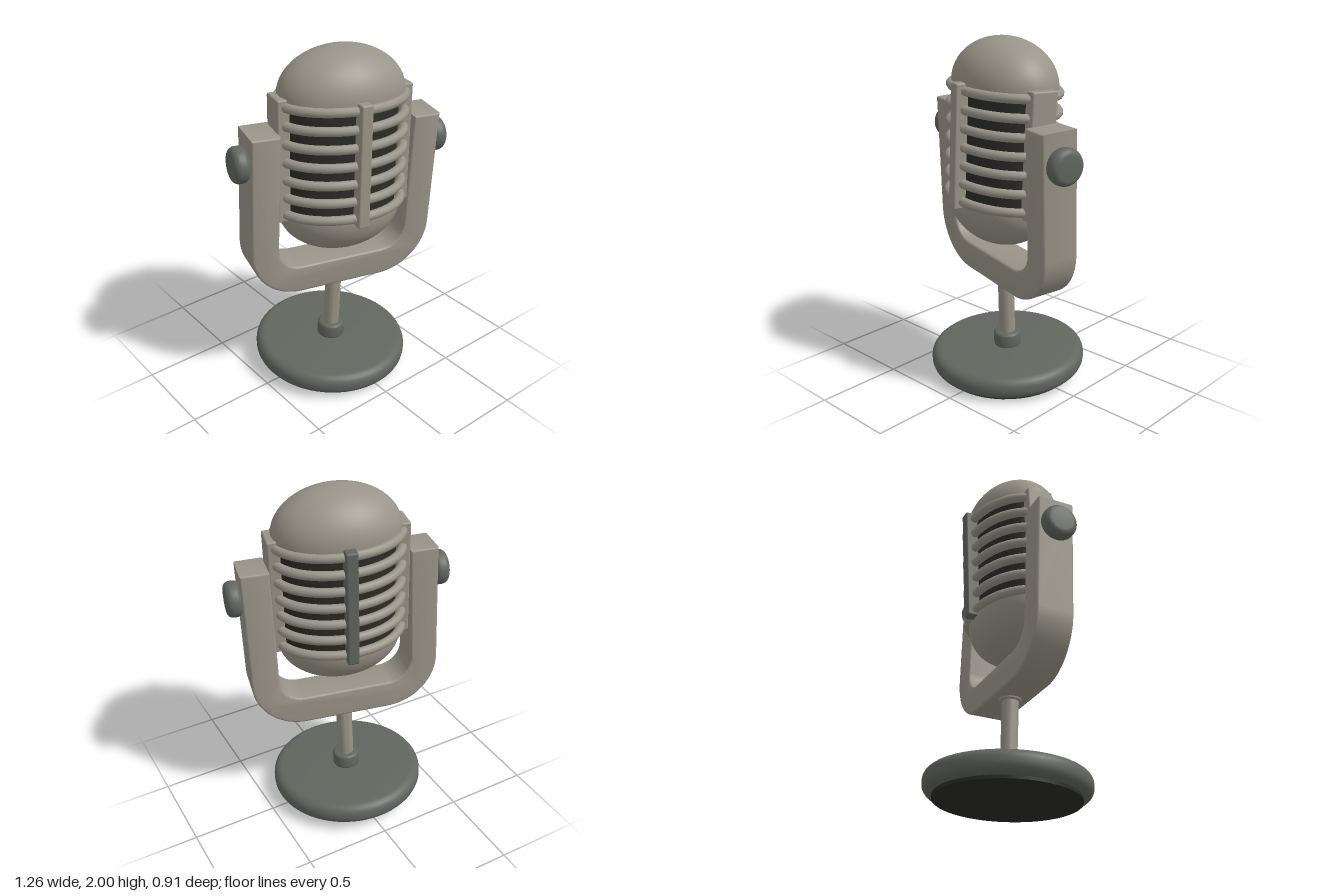
import * as THREE from 'three';
import { toCreasedNormals } from 'three/addons/utils/BufferGeometryUtils.js';
import { RoundedBoxGeometry } from 'three/addons/geometries/RoundedBoxGeometry.js';

const metal = new THREE.MeshStandardMaterial({ color: 0x999488 });
const dark = new THREE.MeshStandardMaterial({ color: 0x62665f });
const black = new THREE.MeshStandardMaterial({ color: 0x2a2c29 });

function add(parent, name, geometry, material, x = 0, y = 0, z = 0) {
  const mesh = new THREE.Mesh(geometry, material);
  mesh.name = name;
  mesh.position.set(x, y, z);
  parent.add(mesh);
  return mesh;
}

// Disc or rod from y0 to y1 with rounded rims
function puck(r, y0, y1, round = 0, segments = 48) {
  const pts = [new THREE.Vector2(0, y0)];
  const steps = round ? 6 : 0;
  for (const [cy, start] of [[y0 + round, -Math.PI / 2], [y1 - round, 0]]) {
    for (let i = 0; i <= steps; i++) {
      const a = start + (i / (steps || 1)) * Math.PI / 2;
      pts.push(new THREE.Vector2(r - round + Math.cos(a) * round, cy + Math.sin(a) * round));
    }
  }
  pts.push(new THREE.Vector2(0, y1));
  return toCreasedNormals(new THREE.LatheGeometry(pts, segments), 0.6);
}

// U-shaped yoke, extruded along z
function yokeGeometry() {
  const b = 0.012, W = 0.549 - b, w = 0.39 + b, top = 1.572 - b, y0 = 0.58 + b, y1 = 0.748 - b;
  const R = 0.29, r = 0.15, k = Math.PI;
  const s = new THREE.Shape();
  s.moveTo(-W, top);
  s.lineTo(-W, y0 + R);
  s.absarc(-W + R, y0 + R, R, k, 1.5 * k, false);
  s.absarc(W - R, y0 + R, R, 1.5 * k, 2 * k, false);
  s.lineTo(W, top);
  s.lineTo(w, top);
  s.lineTo(w, y1 + r);
  s.absarc(w - r, y1 + r, r, 0, -0.5 * k, true);
  s.absarc(-w + r, y1 + r, r, -0.5 * k, -k, true);
  s.lineTo(-w, top);
  s.closePath();
  const depth = 0.216 - 2 * b;
  const geo = new THREE.ExtrudeGeometry(s, {
    depth, bevelEnabled: true, bevelSize: b, bevelThickness: b, bevelSegments: 3, curveSegments: 14,
  });
  geo.translate(0, 0, -depth / 2);
  return toCreasedNormals(geo, 0.6);
}

// Half-ellipsoid cap with a flat underside
function domeGeometry(a, b, h) {
  const pts = [new THREE.Vector2(0, 0), new THREE.Vector2(1, 0)];
  for (let i = 1; i <= 20; i++) {
    const t = (i / 20) * Math.PI / 2;
    pts.push(new THREE.Vector2(i === 20 ? 0 : Math.cos(t), Math.sin(t)));
  }
  const geo = new THREE.LatheGeometry(pts, 64);
  geo.scale(a, h, b);
  return toCreasedNormals(geo, 0.7);
}

// Closed oval wire
function ovalRing(a, b, r) {
  const pts = [];
  for (let i = 0; i < 32; i++) {
    const t = (i / 32) * Math.PI * 2;
    pts.push(new THREE.Vector3(a * Math.cos(t), 0, b * Math.sin(t)));
  }
  return new THREE.TubeGeometry(new THREE.CatmullRomCurve3(pts, true), 96, r, 10, true);
}

export function createModel() {
  const model = new THREE.Group();
  model.name = 'microphone';

  // The whole stand leans slightly, and is turned about its own axis
  const lean = new THREE.Group();
  lean.name = 'leaningStand';
  lean.position.set(-0.02, 0.021, -0.006);
  lean.rotation.set(0.05, 0, -0.016);
  model.add(lean);
  const body = new THREE.Group();
  body.name = 'stand';
  body.rotation.y = -0.245;
  lean.add(body);

  // Base and stem
  add(body, 'footPad', puck(0.4, 0, 0.03), black);
  add(body, 'base', puck(0.455, 0.018, 0.146, 0.055, 64), dark);
  add(body, 'collar', puck(0.08, 0.135, 0.232, 0.018, 32), dark);
  add(body, 'stem', puck(0.047, 0.2, 0.6, 0, 32), metal);
  add(body, 'stemFlange', puck(0.062, 0.566, 0.6, 0.008, 32), metal);

  // Yoke with a pivot knob on each side
  const pivotY = 1.4;
  add(body, 'yoke', yokeGeometry(), metal);
  for (const side of [1, -1]) {
    const knob = add(body, side > 0 ? 'leftKnob' : 'rightKnob', puck(0.1, 0, 0.09, 0.036), dark, side * 0.54, pivotY);
    knob.rotation.z = -side * Math.PI / 2;
  }

  // Head, tipped back on the pivots
  const head = new THREE.Group();
  head.name = 'head';
  head.position.y = pivotY;
  head.rotation.x = -0.072;
  body.add(head);

  const core = new THREE.CylinderGeometry(1, 1, 0.68, 64);
  core.scale(0.325, 1, 0.232);
  add(head, 'grilleCore', core, black);
  add(head, 'topDome', domeGeometry(0.357, 0.262, 0.252), metal, 0, 0.327);
  add(head, 'bottomDome', domeGeometry(0.357, 0.262, 0.252), metal, 0, -0.327).rotation.x = Math.PI;

  // Grille wires
  const ring = ovalRing(0.36, 0.264, 0.026);
  for (let i = -3; i <= 3; i++) add(head, 'grilleWire', ring, metal, 0, i * 0.101);

  // Upright straps on the sides, front and back
  for (const side of [1, -1]) {
    add(head, side > 0 ? 'leftStrap' : 'rightStrap',
      new RoundedBoxGeometry(0.07, 0.69, 0.155, 3, 0.01), metal, side * 0.358, 0);
    add(head, side > 0 ? 'frontStrap' : 'backStrap',
      new RoundedBoxGeometry(0.066, 0.69, 0.075, 3, 0.01), side > 0 ? metal : dark, 0, 0, side * 0.278);
  }
  return model;
}
